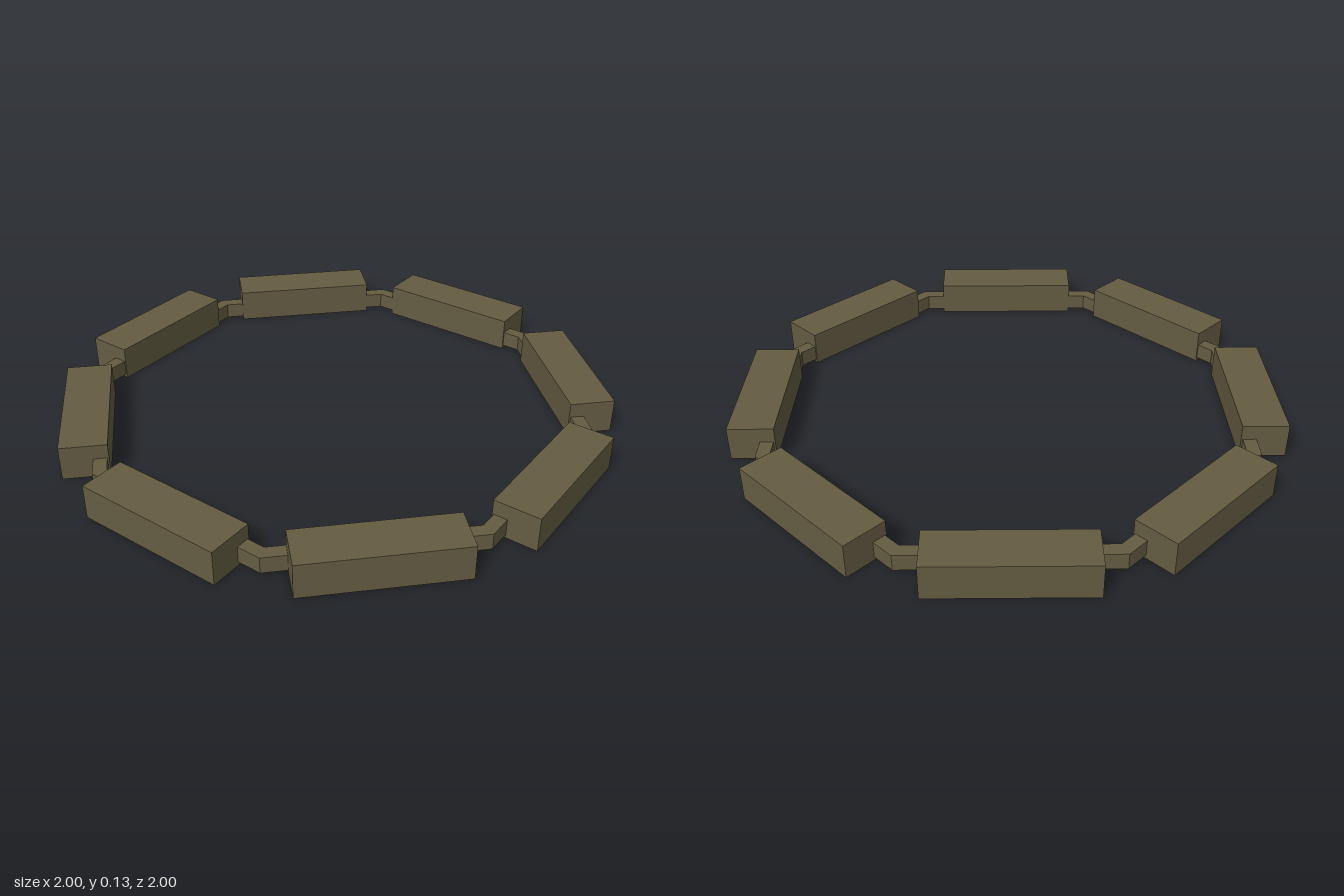
import * as THREE from 'three';

const SIDES = 8;
const STEP = (Math.PI * 2) / SIDES;
const HALF = STEP / 2;

// Mitred link bent around one corner of the octagon, the corner lying on +x
function linkGeometry(inner, outer, reach, bottom, height) {
  const corner = (r) => new THREE.Vector2(r / Math.cos(HALF), 0);
  const end = (r, s) => new THREE.Vector2(
    r * Math.cos(HALF) + reach * Math.sin(HALF),
    s * (r * Math.sin(HALF) - reach * Math.cos(HALF))
  );
  const shape = new THREE.Shape([
    end(outer, -1), corner(outer), end(outer, 1),
    end(inner, 1), corner(inner), end(inner, -1),
  ]);
  const geometry = new THREE.ExtrudeGeometry(shape, { depth: height, bevelEnabled: false });
  geometry.rotateX(-Math.PI / 2);
  geometry.translate(0, bottom, 0);
  return geometry;
}

export function createModel() {
  const model = new THREE.Group();
  model.name = 'segmentedRing';
  const material = new THREE.MeshStandardMaterial({ color: 0x645c42, flatShading: true });

  // Long blocks, one on each side of the octagon
  const blockGeo = new THREE.BoxGeometry(0.168, 0.128, 0.56);
  blockGeo.translate(0.916, 0.064, 0);

  // Thin bent links that end just inside the blocks
  const linkGeo = linkGeometry(0.838, 0.887, 0.27, 0.013, 0.06);

  for (let i = 0; i < SIDES; i++) {
    const block = new THREE.Mesh(blockGeo, material);
    block.name = `block${i + 1}`;
    block.rotation.y = i * STEP;

    const link = new THREE.Mesh(linkGeo, material);
    link.name = `link${i + 1}`;
    link.rotation.y = i * STEP + HALF;

    model.add(block, link);
  }
  return model;
}
